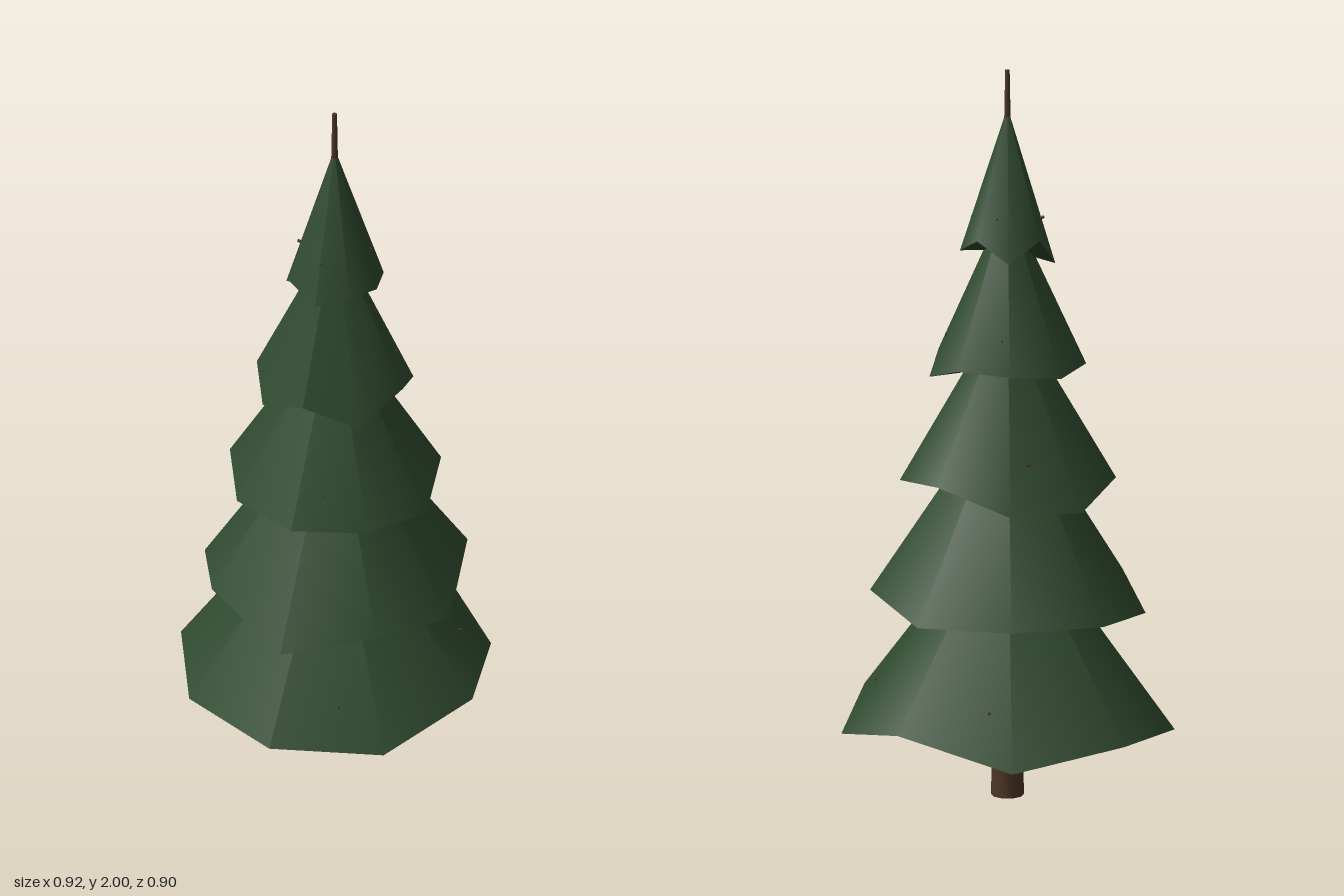
import * as THREE from 'three';

const SIDES = 9;
const AXIS_Z = -0.014; // the trunk stands slightly behind the middle

// Each tier: hem radius, apex height, hem height at each corner (from the front, turning to the left),
// then the tips of its twigs as [x, z] measured from the trunk, and their height.
const TIERS = [
  { radius: 0.465, apex: 0.83, hem: [0.235, 0.225, 0.26, 0.2, 0.27, 0.195, 0.235, 0.205, 0.225],
    twigY: 0.33, twigs: [[0.155, 0.335], [0.35, -0.115], [-0.07, -0.365]] },
  { radius: 0.382, apex: 1.14, hem: [0.515, 0.585, 0.52, 0.6, 0.545, 0.55, 0.545, 0.53, 0.6],
    twigY: 0.65, twigs: [[-0.29, 0.09]] },
  { radius: 0.298, apex: 1.39, hem: [0.885, 0.885, 0.86, 0.9, 0.91, 0.84, 0.84, 0.905, 0.88],
    twigY: 0.97, twigs: [[0.065, 0.225], [-0.13, -0.205]] },
  { radius: 0.215, apex: 1.66, hem: [1.235, 1.175, 1.24, 1.18, 1.21, 1.2, 1.19, 1.215, 1.175],
    twigY: 1.29, twigs: [[0.03, 0.165], [0.16, -0.055], [-0.04, -0.165]] },
  { radius: 0.13, apex: 1.9, hem: [1.5, 1.53, 1.523, 1.52, 1.55, 1.49, 1.55, 1.485, 1.54],
    twigY: 1.61, twigs: [[0, 0.1], [0.093, -0.03], [0, -0.1], [-0.1, 0.01]] },
];

// Closed cone whose hem corners are raised or lowered
function tierGeometry({ radius, apex, hem }) {
  const base = hem.reduce((a, b) => a + b, 0) / SIDES;
  const geometry = new THREE.ConeGeometry(radius, apex - base, SIDES, 1);
  geometry.translate(0, (apex + base) / 2, 0);
  const p = geometry.attributes.position;
  for (let i = 0; i < p.count; i++) {
    const x = p.getX(i), z = p.getZ(i);
    if (Math.hypot(x, z) < radius * 0.5) continue;
    const corner = Math.round((Math.atan2(x, z) / (Math.PI * 2)) * SIDES + SIDES) % SIDES;
    p.setY(i, hem[corner]);
  }
  geometry.computeVertexNormals();
  return geometry;
}

// Thin tapered stick from one point to another
function stick(from, to, r0, r1, material) {
  const direction = to.clone().sub(from);
  const mesh = new THREE.Mesh(new THREE.CylinderGeometry(r1, r0, direction.length(), 5), material);
  mesh.position.copy(from).add(to).multiplyScalar(0.5);
  mesh.quaternion.setFromUnitVectors(new THREE.Vector3(0, 1, 0), direction.normalize());
  return mesh;
}

export function createModel() {
  const needles = new THREE.MeshStandardMaterial({ color: 0x2f4a2f });
  needles.name = 'needle green';
  const bark = new THREE.MeshStandardMaterial({ color: 0x4d3626 });
  bark.name = 'bark brown';

  const tree = new THREE.Group();
  tree.name = 'pineTree';

  // Trunk runs the whole height and shows again as the leader at the top
  const trunk = new THREE.Mesh(new THREE.CylinderGeometry(0.006, 0.046, 2, 10), bark);
  trunk.name = 'trunk';
  trunk.position.set(0, 1, AXIS_Z);
  tree.add(trunk);

  TIERS.forEach((tier, i) => {
    const foliage = new THREE.Mesh(tierGeometry(tier), needles);
    foliage.name = `foliageTier${i + 1}`;
    foliage.position.z = AXIS_Z;
    tree.add(foliage);

    // Twigs just break through the foliage
    tier.twigs.forEach(([x, z], j) => {
      const tip = new THREE.Vector3(x, tier.twigY, z);
      const root = new THREE.Vector3(0, tier.twigY - 0.03, 0);
      const twig = stick(root, tip, 0.01, 0.004, bark);
      twig.name = `twig${i + 1}_${j + 1}`;
      twig.position.z += AXIS_Z;
      tree.add(twig);
    });
  });

  return tree;
}
